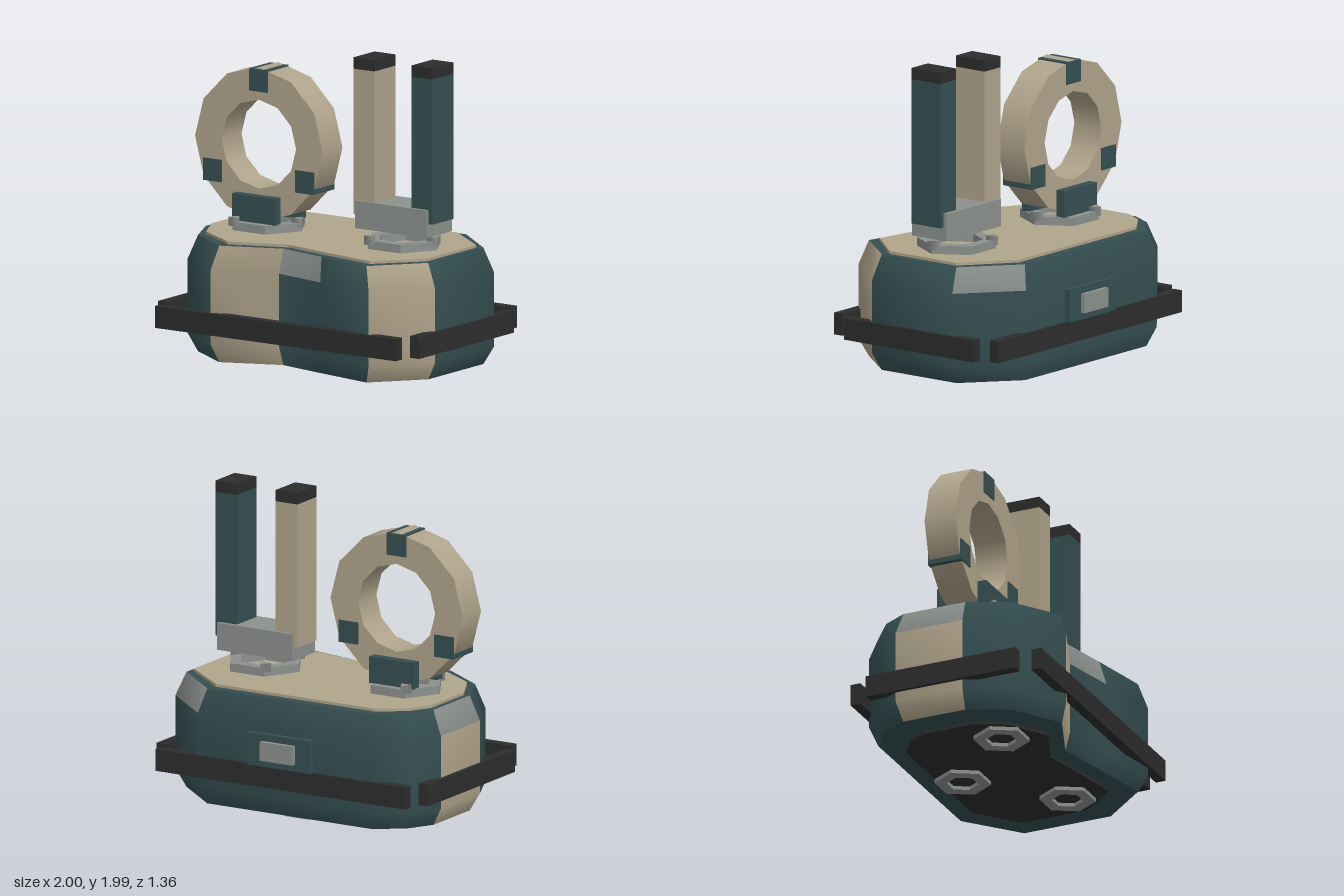
import * as THREE from 'three';

const paint = (name, hex) => {
  const m = new THREE.MeshStandardMaterial({ color: hex });
  m.name = name;
  return m;
};

// Body outline seen from above, as [x, z]
const outline = [
  [-0.69, -0.615], [0.62, -0.615], [0.976, -0.31], [0.976, 0.33], [0.70, 0.66], [0.27, 0.575],
  [-0.10, 0.495], [-0.51, 0.66], [-0.84, 0.44], [-0.974, 0.16], [-0.974, -0.30], [-0.88, -0.47],
];

export function createModel() {
  const green = paint('dark teal', 0x354f51);
  const tan = paint('sand', 0xb0a48b);
  const silver = paint('grey metal', 0x8c918e);
  const black = paint('charcoal', 0x2d2d2d);
  const tanDouble = tan;
  tanDouble.side = THREE.DoubleSide;

  const model = new THREE.Group();
  model.name = 'model';

  const add = (name, geometry, material, x = 0, y = 0, z = 0, parent = model) => {
    const mesh = new THREE.Mesh(geometry, material);
    mesh.name = name;
    mesh.position.set(x, y, z);
    parent.add(mesh);
    return mesh;
  };

  // Box given by its limits on each axis
  const box = (name, material, [x0, x1], [y0, y1], [z0, z1], parent = model) =>
    add(name, new THREE.BoxGeometry(x1 - x0, y1 - y0, z1 - z0), material,
      (x0 + x1) / 2, (y0 + y1) / 2, (z0 + z1) / 2, parent);

  // Flat slab with the body outline, scaled
  const slab = (name, material, sx, sz, y0, y1) => {
    const shape = new THREE.Shape(outline.map(([x, z]) => new THREE.Vector2(x * sx, -z * sz)));
    const g = new THREE.ExtrudeGeometry(shape, { depth: y1 - y0, bevelEnabled: false });
    add(name, g.rotateX(-Math.PI / 2), material, 0, y0, 0);
  };

  // Hexagonal ring lying flat
  const hexRing = (name, outer, inner, height, x, y, z, parent = model) => {
    const hex = (r) => Array.from({ length: 6 }, (_, i) =>
      new THREE.Vector2(r * Math.cos(i * Math.PI / 3), r * Math.sin(i * Math.PI / 3)));
    const shape = new THREE.Shape(hex(outer));
    shape.holes.push(new THREE.Path(hex(inner)));
    const g = new THREE.ExtrudeGeometry(shape, { depth: height, bevelEnabled: false });
    return add(name, g.rotateX(-Math.PI / 2), silver, x, y, z, parent);
  };

  // Body shell: smooth wall with coloured panels
  const levels = [[0.043, 0.93], [0.16, 1], [0.63, 1], [0.785, 0.93]];
  const n = outline.length;
  const positions = levels.flatMap(([y, s]) => outline.flatMap(([x, z]) => [x * s, y, z * s]));
  const tanPanels = [3, 6, 9];
  const silverTops = [1, 5, 9];
  const faces = [[], [], []];
  for (let k = 0; k < levels.length - 1; k++) {
    for (let i = 0; i < n; i++) {
      const j = (i + 1) % n;
      const a = k * n + i, b = k * n + j, c = b + n, d = a + n;
      const colour = k === 2 && silverTops.includes(i) ? 2 : tanPanels.includes(i) ? 1 : 0;
      faces[colour].push(a, d, c, a, c, b);
    }
  }
  const shell = new THREE.BufferGeometry();
  shell.setAttribute('position', new THREE.Float32BufferAttribute(positions, 3));
  shell.setIndex(faces.flat());
  let start = 0;
  faces.forEach((f, i) => {
    shell.addGroup(start, f.length, i);
    start += f.length;
  });
  shell.computeVertexNormals();
  add('bodyShell', shell, [green, tan, silver]);

  // Closed core, deck and underside
  slab('bodyCore', green, 0.93, 0.93, 0.043, 0.785);
  slab('deck', tan, 0.895, 0.83, 0.78, 0.803);
  slab('undersidePlate', black, 0.745, 0.715, 0.024, 0.05);

  // Feet
  for (const [x, z] of [[-0.48, 0.2], [0.5, 0.2], [0, -0.29]]) {
    hexRing('foot', 0.177, 0.1, 0.03, x, 0, z);
  }

  // Bumper rails
  const railY = [0.22, 0.36];
  box('frontRail', black, [-0.92, 0.92], railY, [0.612, 0.678]);
  box('backRail', black, [-0.92, 0.92], railY, [-0.635, -0.568]);
  box('leftRail', black, [0.93, 0.998], railY, [-0.495, 0.535]);
  box('rightRail', black, [-0.998, -0.93], railY, [-0.495, 0.535]);

  // Back hatch
  box('hatchFrame', green, [-0.23, 0.23], [0.36, 0.57], [-0.655, -0.6]);
  box('hatchPanel', silver, [-0.12, 0.12], [0.405, 0.527], [-0.685, -0.65]);

  // Turntables with three small wedge clips each
  const cz = 0.02;
  for (const x of [-0.515, 0.52]) {
    const turntable = new THREE.Group();
    turntable.name = 'turntable';
    turntable.position.set(x, 0, cz);
    model.add(turntable);
    hexRing('turntableRing', 0.25, 0.17, 0.057, 0, 0.8, 0, turntable);
    for (let i = 0; i < 3; i++) {
      const a = i * Math.PI * 2 / 3;
      const clip = add('clip', new THREE.CylinderGeometry(0.045, 0.045, 0.057, 3), silver,
        0.228 * Math.cos(a), 0.858, 0.228 * Math.sin(a), turntable);
      clip.rotation.y = Math.PI;
    }
  }

  // Upright ring
  const loop = new THREE.Group();
  loop.name = 'uprightRing';
  loop.position.set(-0.515, 1.347, cz);
  model.add(loop);
  const R = 0.488, r = 0.284, depth = 0.214;
  for (const [name, radius] of [['ringOuter', R], ['ringInner', r]]) {
    const g = new THREE.CylinderGeometry(radius, radius, depth, 12, 1, true);
    add(name, g.rotateX(Math.PI / 2), tanDouble, 0, 0, 0, loop);
  }
  for (const side of [1, -1]) {
    const face = add('ringFace', new THREE.RingGeometry(r, R, 12), tan, 0, 0, side * depth / 2, loop);
    if (side < 0) face.rotation.y = Math.PI;
  }
  for (const deg of [90, 210, 330]) {
    const a = THREE.MathUtils.degToRad(deg);
    add('ringBlock', new THREE.BoxGeometry(0.142, 0.142, depth + 0.014), green,
      0.407 * Math.cos(a), 0.407 * Math.sin(a), 0, loop);
  }

  // Cheek plates holding the ring
  box('frontCheek', green, [-0.68, -0.35], [0.855, 1.026], [0.127, 0.187]);
  box('backCheek', green, [-0.68, -0.35], [0.855, 1.026], [-0.15, -0.088]);

  // Twin posts with their bracket
  box('postBracket', silver, [0.24, 0.79], [0.905, 1.08], [-0.115, 0.158]);
  const postZ = [-0.09, 0.138];
  for (const [x, material] of [[0.295, tan], [0.74, green]]) {
    const px = [x - 0.08, x + 0.08];
    box('post', material, px, [0.99, 1.915], postZ);
    box('postCap', black, px, [1.915, 1.987], postZ);
  }

  return model;
}
